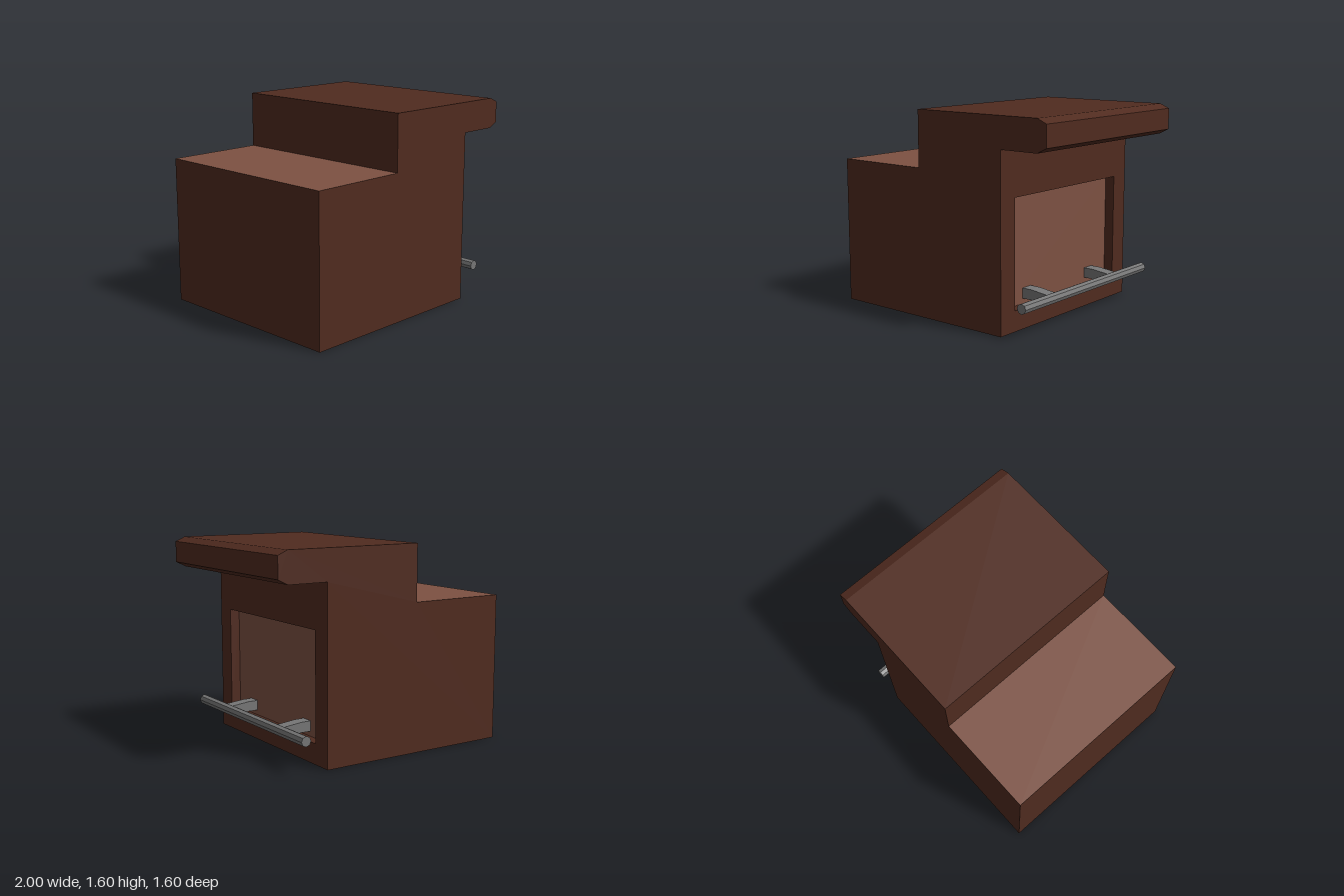
import * as THREE from 'three';
import { mergeGeometries } from 'three/addons/utils/BufferGeometryUtils.js';

const mat = (color) => new THREE.MeshStandardMaterial({ color, flatShading: true });
const darkWood = mat(0x502b1f), lightWood = mat(0x7d5142), metal = mat(0x777777);

const DEPTH = 0.8;    // half length along z
const WALL_X = 0.6;   // face that carries the recess
const RECESS = 0.08;

const vectors = (list) => list.map(([x, y]) => new THREE.Vector2(x, y));

// Flat faces swept along z from each edge of a closed outline;
// a counter-clockwise outline faces outwards, a clockwise one inwards
function sweepEdge(a, b, z0, z1) {
  const g = new THREE.BufferGeometry();
  g.setAttribute('position', new THREE.Float32BufferAttribute(
    [a.x, a.y, z1, a.x, a.y, z0, b.x, b.y, z0, b.x, b.y, z1], 3));
  g.setAttribute('uv', new THREE.Float32BufferAttribute([0, 0, 0, 1, 1, 1, 1, 0], 2));
  g.setIndex([0, 1, 2, 0, 2, 3]);
  g.computeVertexNormals();
  return g;
}

const sweep = (points, z0, z1) =>
  points.map((p, i) => sweepEdge(p, points[(i + 1) % points.length], z0, z1));

export function createModel() {
  const group = new THREE.Group();
  const add = (name, geometry, material) => {
    const mesh = new THREE.Mesh(geometry, material);
    mesh.name = name;
    group.add(mesh);
    return mesh;
  };

  // Cabinet silhouette: low work shelf, raised top and chamfered overhang
  const profile = vectors([
    [-1, 0], [WALL_X, 0], [WALL_X, 1.36], [0.92, 1.36], [1, 1.4],
    [1, 1.565], [0.92, 1.6], [-0.2, 1.6], [-0.2, 1.16], [-1, 1.16],
  ]);
  const faces = sweep(profile, -DEPTH, DEPTH);
  const wallEdge = 1, shelfEdge = 8;
  const shell = faces.filter((_, i) => i !== wallEdge && i !== shelfEdge);
  const end = new THREE.ShapeGeometry(new THREE.Shape(profile));
  shell.push(end.clone().translate(0, 0, DEPTH));
  shell.push(end.clone().rotateY(Math.PI).scale(1, 1, 1));
  // The far end keeps the same outline, with its winding reversed
  const back = end.clone().translate(0, 0, -DEPTH);
  back.setIndex([...back.index.array].reverse());
  back.attributes.normal.array.forEach((v, i, n) => { n[i] = -v; });
  shell[shell.length - 1] = back;
  add('cabinetBody', mergeGeometries(shell), darkWood);
  add('workShelf', faces[shelfEdge], lightWood);

  // Wall with a rectangular opening, recess sides and inset panel
  const opening = vectors([[-0.64, 0.16], [-0.64, 1], [0.64, 1], [0.64, 0.16]]);
  const wall = new THREE.Shape(vectors([[-DEPTH, 0], [DEPTH, 0], [DEPTH, 1.36], [-DEPTH, 1.36]]));
  wall.holes.push(new THREE.Path(opening));
  const placeOnWall = (g) => g.rotateY(Math.PI / 2).translate(WALL_X, 0, 0);
  add('recessedWall', placeOnWall(new THREE.ShapeGeometry(wall)), darkWood);
  add('recessSides', placeOnWall(mergeGeometries(sweep(opening, -RECESS, 0))), darkWood);
  add('insetPanel',
    placeOnWall(new THREE.PlaneGeometry(1.28, 0.84).translate(0, 0.58, -RECESS)), lightWood);

  // Eight-sided foot rail
  const rail = new THREE.CylinderGeometry(0.04, 0.04, 1.59, 8).rotateY(Math.PI / 2).rotateX(Math.PI / 2);
  add('footRail', rail.translate(0.78, 0.24, -0.005), metal);

  // Two brackets, straight inside the recess and tapering to the rail
  const bracket = new THREE.Shape(vectors([
    [WALL_X - RECESS, 0.2], [WALL_X, 0.2], [0.76, 0.217],
    [0.76, 0.263], [WALL_X, 0.28], [WALL_X - RECESS, 0.28],
  ]));
  for (const z of [-0.4, 0.4]) {
    const g = new THREE.ExtrudeGeometry(bracket, { depth: 0.1, bevelEnabled: false });
    add(z > 0 ? 'frontRailBracket' : 'backRailBracket', g.translate(0, 0, z - 0.05), metal);
  }
  return group;
}
